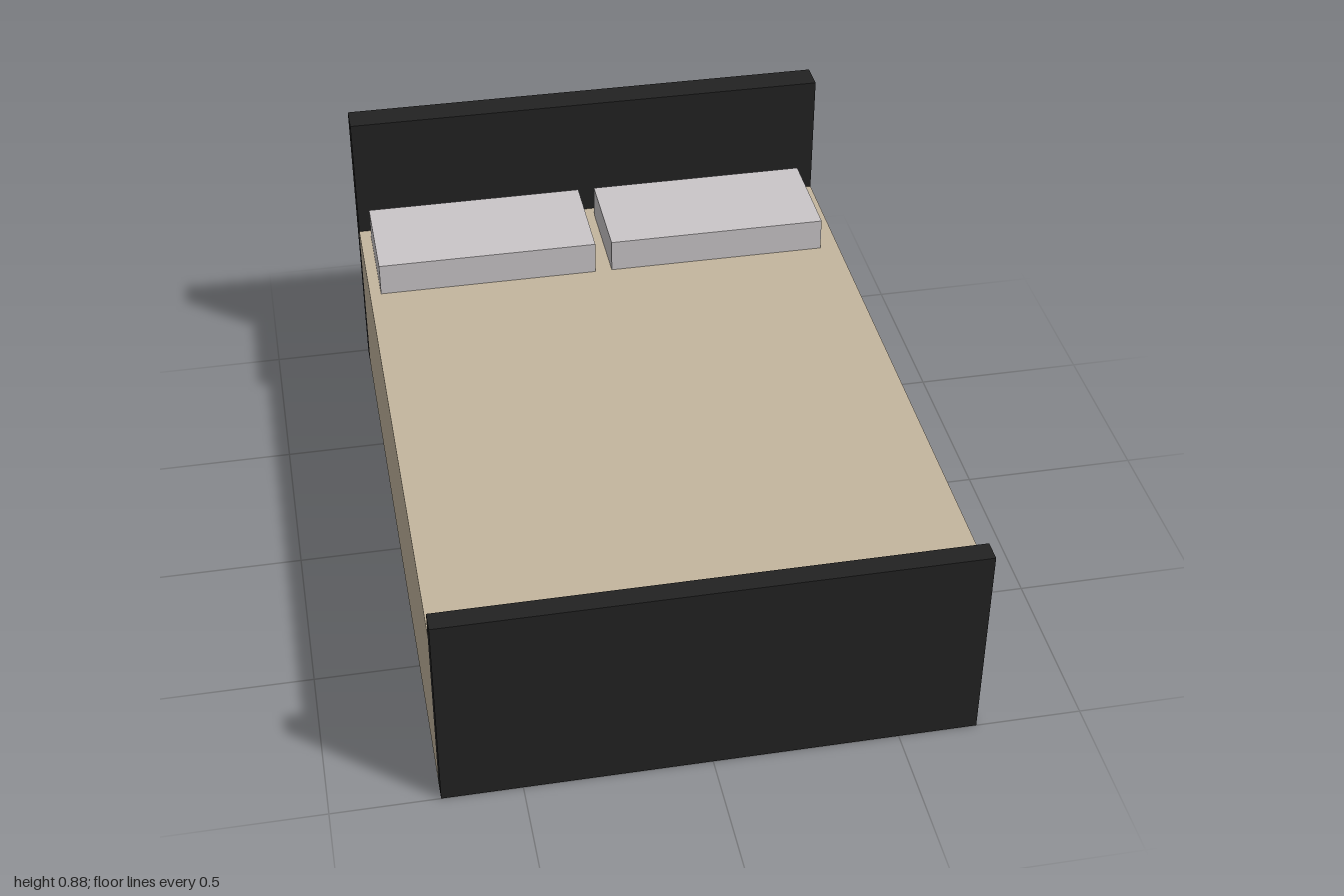
import * as THREE from 'three';

export function createModel() {
  const bed = new THREE.Group();
  bed.name = 'bed';

  const material = (name, color) => {
    const m = new THREE.MeshStandardMaterial({ color });
    m.name = name;
    return m;
  };
  const black = material('black frame', 0x222222);
  const beige = material('beige bedding', 0xc4b69e);
  const grey = material('pale grey pillow', 0xcac6c8);

  // Box given by its minimum and maximum corners
  const addBox = (name, mat, [x0, y0, z0], [x1, y1, z1]) => {
    const geometry = new THREE.BoxGeometry(x1 - x0, y1 - y0, z1 - z0);
    const mesh = new THREE.Mesh(geometry, mat);
    mesh.name = name;
    mesh.position.set((x0 + x1) / 2, (y0 + y1) / 2, (z0 + z1) / 2);
    bed.add(mesh);
  };

  const W = 0.713; // half width
  const headFront = -0.915, footBack = 0.942, top = 0.508;

  // End boards
  addBox('headboard', black, [-W, 0, -1], [W, 0.88, headFront]);
  addBox('footboard', black, [-W, 0, footBack], [W, 0.585, 1]);

  // Mattress block: beige all round, black underside
  addBox('mattress', [beige, beige, beige, black, beige, beige],
    [-W, 0, headFront], [W, top, footBack]);

  // Pillows, set slightly off centre
  for (const [name, x] of [['rightPillow', -0.68], ['leftPillow', 0.013]]) {
    addBox(name, grey, [x, top, -0.877], [x + 0.644, 0.605, -0.565]);
  }

  return bed;
}
